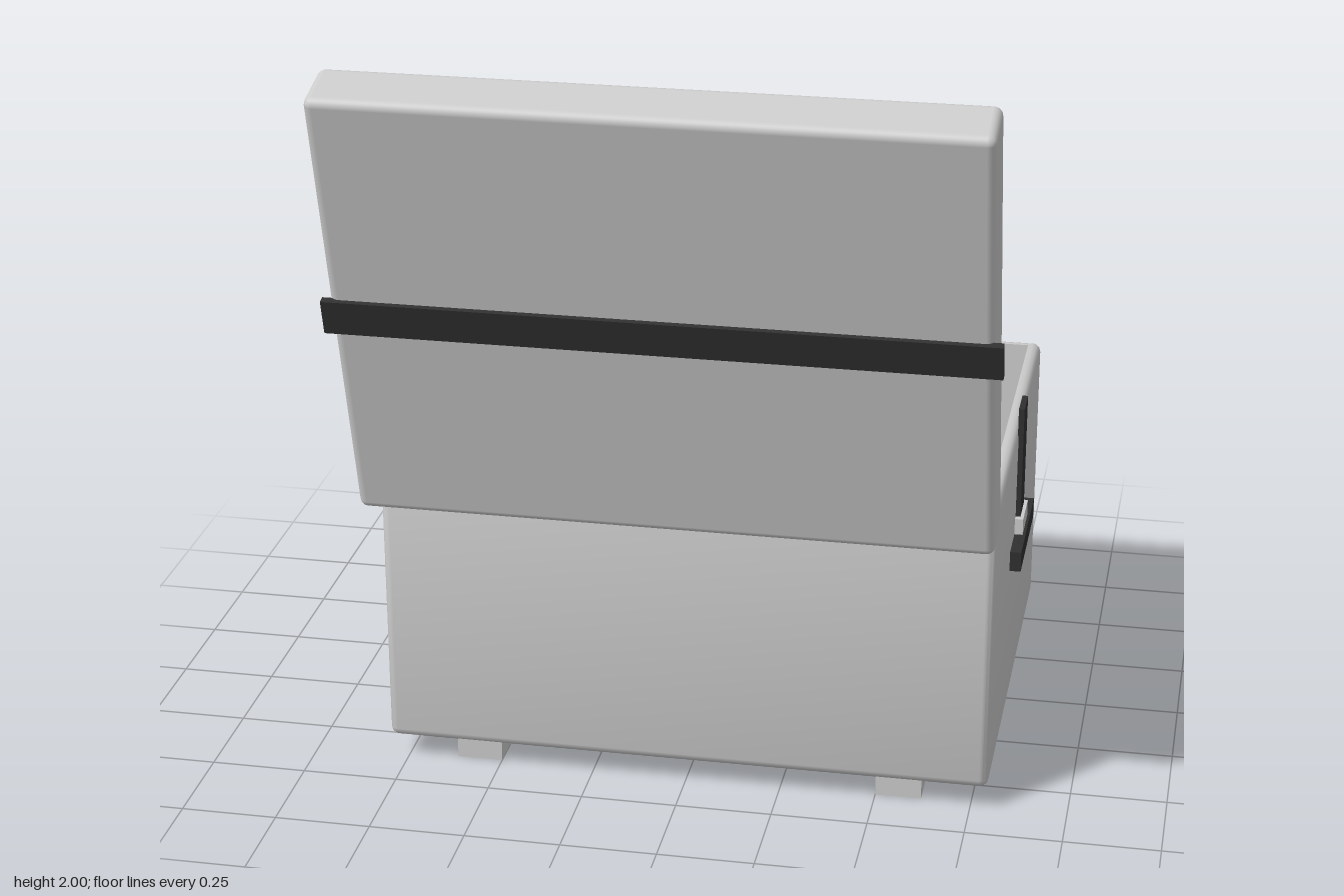
import * as THREE from 'three';
import { RoundedBoxGeometry } from 'three/addons/geometries/RoundedBoxGeometry.js';
import { toCreasedNormals } from 'three/addons/utils/BufferGeometryUtils.js';

const grey = new THREE.MeshStandardMaterial({ color: 0xcccccc });
const black = new THREE.MeshStandardMaterial({ color: 0x303030 });

function add(parent, name, geometry, material, x, y, z) {
  const mesh = new THREE.Mesh(geometry, material);
  mesh.name = name;
  mesh.position.set(x, y, z);
  parent.add(mesh);
  return mesh;
}

// Box given by its limits on each axis
function block(parent, name, material, [x0, x1], [y0, y1], [z0, z1]) {
  return add(parent, name, new THREE.BoxGeometry(x1 - x0, y1 - y0, z1 - z0), material,
    (x0 + x1) / 2, (y0 + y1) / 2, (z0 + z1) / 2);
}

// One rounded-rectangle ring at height y, moved inwards by inset
function ring(width, depth, radius, inset, y) {
  const r = Math.max(radius - inset, 0.001), steps = 4, points = [];
  for (let corner = 0; corner < 4; corner++) {
    const sx = corner === 0 || corner === 3 ? 1 : -1, sz = corner < 2 ? 1 : -1;
    for (let i = 0; i <= steps; i++) {
      const a = (corner + i / steps) * Math.PI / 2;
      points.push([sx * (width / 2 - inset - r) + r * Math.cos(a), y,
        sz * (depth / 2 - inset - r) + r * Math.sin(a)]);
    }
  }
  return points;
}

// Hollow tub: rings run from the underside, over the rim and down to the floor
function tubGeometry(width, depth, radius, profile) {
  const rings = profile.map(([inset, y]) => ring(width, depth, radius, inset, y));
  const n = rings[0].length, last = rings.length - 1, index = [];
  const positions = rings.flat(2);
  positions.push(0, profile[0][1], 0, 0, profile[last][1], 0);
  const bottom = n * rings.length, floor = bottom + 1;
  for (let i = 0; i < n; i++) {
    const j = (i + 1) % n;
    index.push(bottom, i, j, floor, last * n + j, last * n + i);
    for (let k = 0; k < last; k++) {
      const a = k * n + i, b = k * n + j;
      index.push(a, a + n, b, b, a + n, b + n);
    }
  }
  const geometry = new THREE.BufferGeometry();
  geometry.setAttribute('position', new THREE.Float32BufferAttribute(positions, 3));
  geometry.setIndex(index);
  return toCreasedNormals(geometry, Math.PI / 5);
}

export function createModel() {
  const model = new THREE.Group();
  model.name = 'openCase';
  const midZ = -0.2125;

  // Open body with softened outer edges
  const profile = [[0.022, 0.065], [0.011, 0.068], [0.003, 0.076], [0, 0.087], [0, 0.818],
    [0.003, 0.829], [0.011, 0.837], [0.022, 0.84], [0.034, 0.84], [0.034, 0.1]];
  add(model, 'caseBody', tubGeometry(1.59, 1.195, 0.022, profile), grey, 0, 0, midZ);

  // Lid leaning open, with a strap across its outside
  const lid = new THREE.Group();
  lid.name = 'lid';
  lid.position.set(0, 1.4, 0.617);
  lid.rotation.x = THREE.MathUtils.degToRad(15);
  model.add(lid);
  add(lid, 'lidPanel', new RoundedBoxGeometry(1.61, 1.215, 0.155, 3, 0.022), grey, 0, 0, 0);
  block(lid, 'lidStrap', black, [-0.825, 0.825], [-0.05, 0.043], [0.07, 0.09]);

  for (const side of [-1, 1]) {
    // Hinge barrels
    const hinge = add(model, 'hinge', new THREE.CylinderGeometry(0.02, 0.02, 0.16, 16), grey,
      side * 0.48, 0.842, 0.385);
    hinge.rotation.z = Math.PI / 2;
    // Runners under the body
    add(model, 'runner', new THREE.BoxGeometry(0.12, 0.07, 1.12), grey, side * 0.56, 0.035, midZ);
    // Carry handles
    add(model, 'sideHandle', new THREE.BoxGeometry(0.035, 0.055, 0.355), black,
      side * 0.807, 0.518, midZ);
  }

  // Upright strap and its buckle on one side
  block(model, 'sideStrap', black, [0.793, 0.808], [0.56, 0.9], [-0.26, -0.165]);
  block(model, 'strapBuckle', grey, [0.79, 0.817], [0.545, 0.59], [-0.277, -0.148]);

  // Plate, catch and round button on the back
  block(model, 'backPlate', black, [-0.65, 0.07], [0.305, 0.545], [-0.82, -0.805]);
  block(model, 'catch', grey, [0.463, 0.49], [0.555, 0.615], [-0.848, -0.8]);
  const button = add(model, 'button', new THREE.CylinderGeometry(0.024, 0.024, 0.02, 20), grey,
    0.477, 0.385, -0.808);
  button.rotation.x = Math.PI / 2;

  return model;
}
